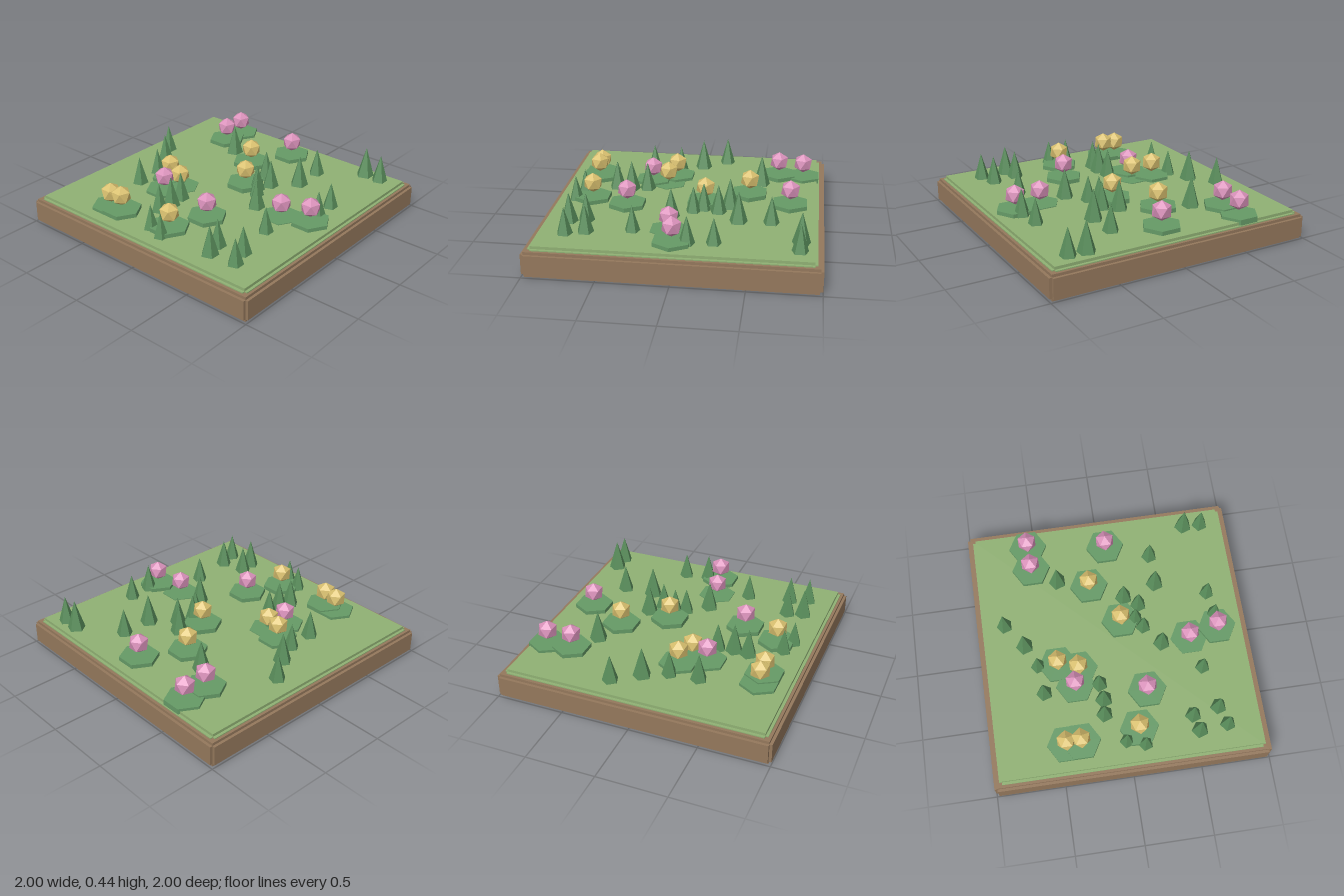
import * as THREE from 'three';

const mat = (name, color) => {
  const m = new THREE.MeshStandardMaterial({ color });
  m.name = name;
  m.flatShading = true;
  return m;
};

// [x, z, radius]
const TREES = [
  [0.22, -0.79, 0.06], [0.04, -0.66, 0.067], [-0.34, -0.56, 0.061], [-0.13, -0.58, 0.057],
  [0.52, -0.355, 0.067], [-0.56, -0.15, 0.063], [-0.45, -0.14, 0.066], [-0.33, -0.155, 0.062],
  [-0.78, -0.02, 0.055], [-0.82, 0.11, 0.054], [0.32, 0.12, 0.066], [0.135, 0.18, 0.06],
  [0.065, 0.23, 0.057], [0.245, 0.22, 0.062], [-0.08, 0.345, 0.065], [0.4, 0.37, 0.068],
  [0.63, 0.365, 0.06], [-0.775, 0.51, 0.064], [-0.66, 0.48, 0.061], [-0.76, 0.715, 0.058],
  [-0.625, 0.67, 0.061], [-0.31, 0.61, 0.056], [0.085, 0.765, 0.06], [0.265, 0.745, 0.056],
  [0.845, 0.665, 0.067], [0.84, 0.795, 0.06],
];

// [x, z, bloom centre height]
const PINK = [
  [-0.315, -0.33, 0.325], [0.645, -0.54, 0.335], [0.83, -0.545, 0.325], [-0.425, 0.18, 0.337],
  [0.75, 0.04, 0.335], [-0.065, 0.555, 0.31], [-0.015, 0.77, 0.333],
];
const YELLOW = [
  [-0.74, -0.45, 0.325], [-0.74, -0.345, 0.335], [-0.14, -0.435, 0.328], [-0.19, -0.29, 0.31],
  [0.445, -0.125, 0.337], [-0.7, 0.08, 0.335], [0.135, 0.07, 0.34],
];

export function createModel() {
  const root = new THREE.Group();
  root.name = 'gardenTile';

  const dirt = mat('earth brown', 0x94785c);
  const grass = mat('grass green', 0x8fb073);
  const leaf = mat('leaf green', 0x659a66);
  const pine = mat('tree green', 0x5a8f5c);
  const pink = mat('pink petal', 0xd991ba);
  const yellow = mat('yellow petal', 0xd9c06f);

  const add = (parent, name, geo, material, x, y, z) => {
    const mesh = new THREE.Mesh(geo, material);
    mesh.name = name;
    mesh.position.set(x, y, z);
    parent.add(mesh);
    return mesh;
  };

  // Slab with edges stepped in by 0.02, made of three crossing boxes
  const steppedSlab = (name, size, y0, y1, material) => {
    const group = new THREE.Group();
    group.name = name;
    const s = 0.02, inner = size - 2 * s, h = y1 - y0, y = (y0 + y1) / 2;
    add(group, name + 'Core', new THREE.BoxGeometry(inner, h, inner), material, 0, y, 0);
    add(group, name + 'WideX', new THREE.BoxGeometry(size, h - 2 * s, inner), material, 0, y, 0);
    add(group, name + 'WideZ', new THREE.BoxGeometry(inner, h - 2 * s, size), material, 0, y, 0);
    root.add(group);
  };
  steppedSlab('earthBase', 2, 0, 0.183, dirt);
  steppedSlab('grassLayer', 1.92, 0.13, 0.21, grass);

  // Five-sided trees, one corner toward the back
  const trees = new THREE.Group();
  trees.name = 'trees';
  root.add(trees);
  const cone = new THREE.ConeGeometry(1, 3.4, 5).rotateY(Math.PI).translate(0, 1.7, 0);
  for (const [x, z, r] of TREES) {
    add(trees, 'tree', cone, pine, x, 0.209, z).scale.setScalar(r);
  }

  // Flowers: hexagonal leaf pad with a faceted bloom, one vertex straight up
  const pad = new THREE.CylinderGeometry(0.142, 0.142, 0.05, 6);
  const bloom = new THREE.IcosahedronGeometry(0.075, 0)
    .rotateZ(-Math.atan(2 / (1 + Math.sqrt(5))));
  const plant = (list, name, petal) => {
    for (const [x, z, y] of list) {
      const flower = new THREE.Group();
      flower.name = name;
      add(flower, 'leafPad', pad, leaf, x, y - 0.12, z);
      add(flower, 'bloom', bloom, petal, x, y, z);
      root.add(flower);
    }
  };
  plant(PINK, 'pinkFlower', pink);
  plant(YELLOW, 'yellowFlower', yellow);

  return root;
}
